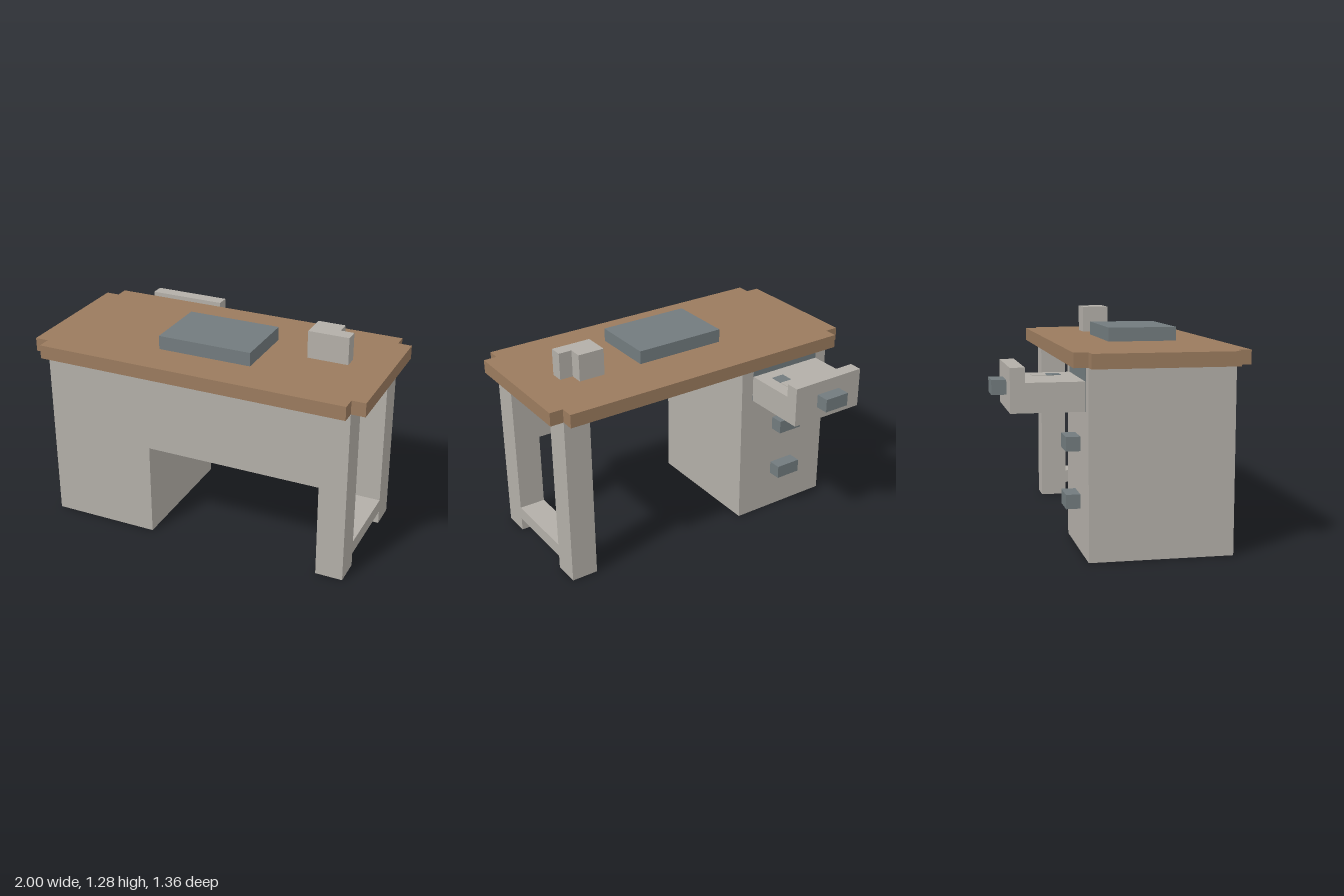
import * as THREE from 'three';

export function createModel() {
  const model = new THREE.Group();
  model.name = 'desk';

  const mat = (name, color) => {
    const m = new THREE.MeshStandardMaterial({ color });
    m.name = name;
    return m;
  };
  const grey = mat('warm grey', 0xb3afa8);
  const wood = mat('brown wood', 0x9b7b5e);
  const slate = mat('slate grey', 0x727b7e);

  // Box given by its minimum and maximum corners
  const box = (name, material, [x0, y0, z0], [x1, y1, z1]) => {
    const mesh = new THREE.Mesh(new THREE.BoxGeometry(x1 - x0, y1 - y0, z1 - z0), material);
    mesh.position.set((x0 + x1) / 2, (y0 + y1) / 2, (z0 + z1) / 2);
    mesh.name = name;
    model.add(mesh);
    return mesh;
  };

  // Flat outline in x and z, raised from y0 to y1
  const slab = (name, material, points, y0, y1) => {
    const shape = new THREE.Shape(points.map(([x, z]) => new THREE.Vector2(x, -z)));
    const geo = new THREE.ExtrudeGeometry(shape, { depth: y1 - y0, bevelEnabled: false });
    geo.rotateX(-Math.PI / 2);
    const mesh = new THREE.Mesh(geo, material);
    mesh.position.y = y0;
    mesh.name = name;
    model.add(mesh);
    return mesh;
  };

  // Desktop with notched corners
  slab('desktop', wood, [
    [-0.92, 0.68], [0.92, 0.68], [0.92, 0.6], [1, 0.6], [1, -0.2], [0.92, -0.2],
    [0.92, -0.28], [-0.92, -0.28], [-0.92, -0.2], [-1, -0.2], [-1, 0.6], [-0.92, 0.6],
  ], 1.04, 1.12);

  // Drawer pedestal, front panel and leg frame
  box('pedestal', grey, [-0.92, 0, -0.2], [-0.28, 1.04, 0.6]);
  box('modestyPanel', grey, [-0.28, 0.56, 0.52], [0.76, 1.04, 0.6]);
  box('frontLeg', grey, [0.76, 0, 0.44], [0.92, 1.04, 0.6]);
  box('backLeg', grey, [0.76, 0, -0.2], [0.92, 1.04, -0.04]);
  box('legStretcher', grey, [0.76, 0.08, -0.04], [0.92, 0.16, 0.44]);

  // Open drawer with its dark opening behind
  box('drawerOpening', slate, [-0.84, 0.8, -0.203], [-0.36, 1.04, -0.199]);
  box('drawerBody', grey, [-0.84, 0.8, -0.52], [-0.36, 0.96, -0.2]);
  box('drawerFront', grey, [-0.84, 0.8, -0.6], [-0.36, 1.04, -0.52]);

  // Small object lying in the drawer
  box('drawerItemGrip', grey, [-0.52, 0.958, -0.44], [-0.44, 0.963, -0.36]);
  box('drawerItemTip', slate, [-0.52, 0.958, -0.36], [-0.44, 0.963, -0.28]);

  // Drawer handles: two closed drawers, one open
  for (const [y, z] of [[0.24, -0.2], [0.56, -0.2], [0.88, -0.6]]) {
    box('drawerHandle', slate, [-0.68, y, z - 0.08], [-0.52, y + 0.08, z]);
  }

  // Things on the desktop
  box('deskPad', slate, [-0.28, 1.12, 0.04], [0.28, 1.2, 0.44]);
  slab('mug', grey, [
    [0.52, 0.2], [0.76, 0.2], [0.76, 0.12], [0.68, 0.12], [0.68, 0.04], [0.52, 0.04],
  ], 1.12, 1.28);

  return model;
}
